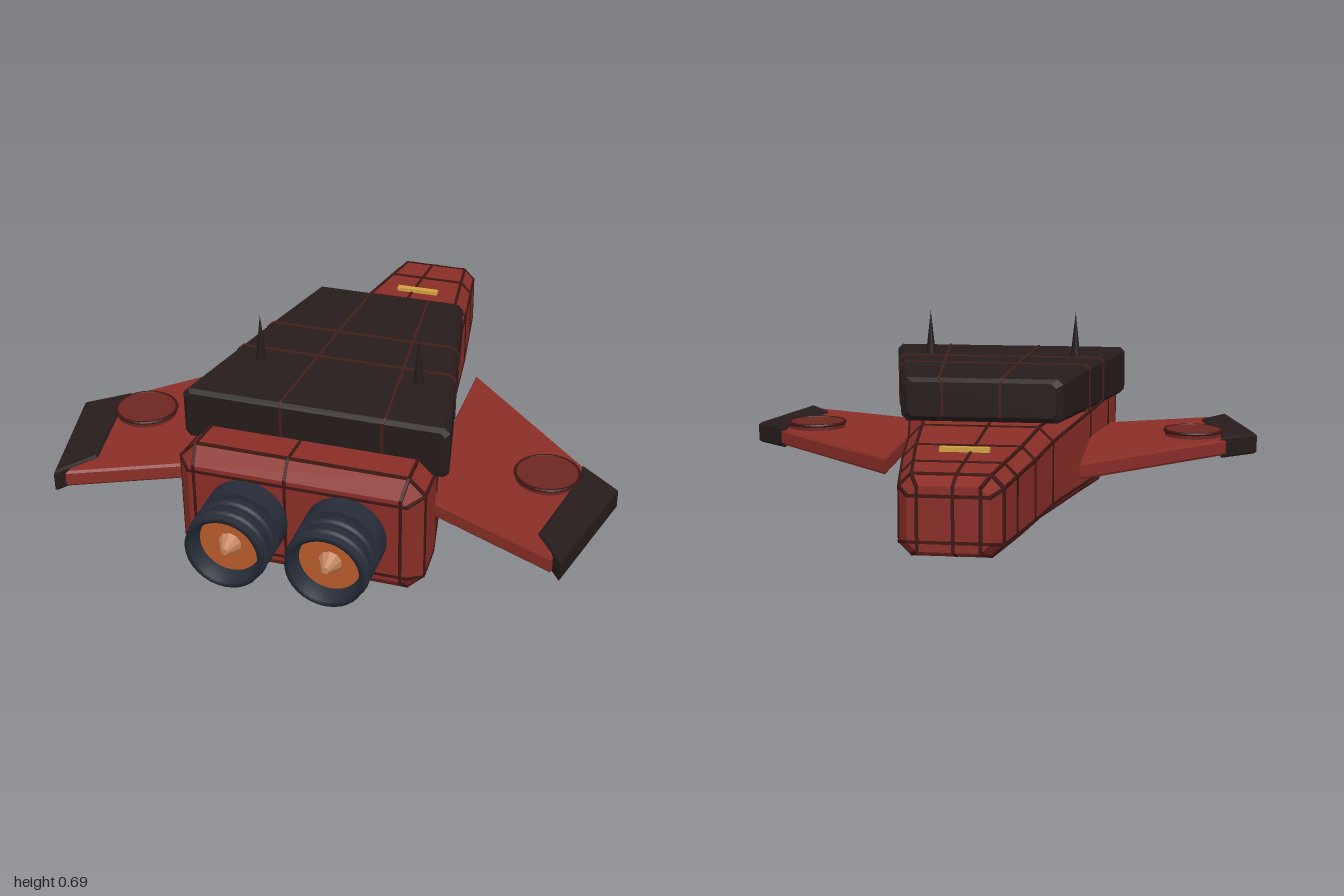
import * as THREE from 'three';

const paint = (color, opts = {}) => new THREE.MeshStandardMaterial({ color, flatShading: true, ...opts });
const red = paint(0x8a2e27);
const plate = paint(0x6e2722);
const dark = paint(0x261c1b);
const hullSeam = paint(0x3c1613);
const deckSeam = paint(0x43201a);
const steel = paint(0x272c38, { flatShading: false, side: THREE.DoubleSide });
const glow = paint(0xb85c2c, { flatShading: false });
const core = paint(0xc4855f);
const gold = paint(0xd0a040);

// Section: [z, x0, x1, y0, y1, chamfer]
const octagon = ([z, x0, x1, y0, y1, c]) => [
  [x0 + c, y0, z], [x1 - c, y0, z], [x1, y0 + c, z], [x1, y1 - c, z],
  [x1 - c, y1, z], [x0 + c, y1, z], [x0, y1 - c, z], [x0, y0 + c, z],
];

// Skin a run of chamfered sections, listed by rising z
function loft(sections) {
  const rings = sections.map(octagon), pos = [];
  const tri = (a, b, c) => pos.push(...a, ...b, ...c);
  for (let k = 0; k < rings.length - 1; k++) {
    for (let i = 0; i < 8; i++) {
      const j = (i + 1) % 8, a = rings[k], b = rings[k + 1];
      tri(a[i], a[j], b[j]);
      tri(a[i], b[j], b[i]);
    }
  }
  const first = rings[0], last = rings[rings.length - 1];
  for (let i = 1; i < 7; i++) {
    tri(first[0], first[i + 1], first[i]);
    tri(last[0], last[i], last[i + 1]);
  }
  const geo = new THREE.BufferGeometry();
  geo.setAttribute('position', new THREE.Float32BufferAttribute(pos, 3));
  geo.computeVertexNormals();
  return geo;
}

// Section at any z along a body
function sectionAt(sections, z) {
  const k = Math.max(1, sections.findIndex((s) => s[0] >= z));
  const a = sections[k - 1], b = sections[k];
  const t = (z - a[0]) / (b[0] - a[0]);
  return a.map((v, i) => v + (b[i] - v) * t);
}

function add(parent, name, geo, mat, x = 0, y = 0, z = 0) {
  const mesh = new THREE.Mesh(geo, mat);
  mesh.name = name;
  mesh.position.set(x, y, z);
  parent.add(mesh);
  return mesh;
}

// Thin raised bands around a body
function bands(parent, name, sections, stations, mat) {
  const g = 0.003, w = 0.007;
  for (const z of stations) {
    const ring = [z - w, z + w].map((q) => {
      const [, x0, x1, y0, y1, c] = sectionAt(sections, q);
      return [q, x0 - g, x1 + g, y0 - g, y1 + g, c];
    });
    add(parent, name, loft(ring), mat);
  }
}

// Flat plate from an [x, z] outline
function slab(points, y0, y1, bevel) {
  const shape = new THREE.Shape(points.map(([x, z]) => new THREE.Vector2(x, -z)));
  const geo = new THREE.ExtrudeGeometry(shape, {
    depth: y1 - y0 - 2 * bevel, bevelEnabled: true, bevelThickness: bevel,
    bevelSize: bevel, bevelOffset: -bevel, bevelSegments: 1,
  });
  return geo.rotateX(-Math.PI / 2).translate(0, y0 + bevel, 0);
}

const hullSections = [
  [-1, 0.125, 0.105, 0.305, 0.03],
  [-0.945, 0.16, 0.082, 0.332, 0.04],
  [-0.58, 0.215, 0.066, 0.35, 0.045],
  [-0.28, 0.25, 0.05, 0.365, 0.05],
  [0.24, 0.34, 0.022, 0.39, 0.055],
  [0.6, 0.405, 0.006, 0.41, 0.055],
  [0.74, 0.41, 0.003, 0.416, 0.055],
  [0.792, 0.365, 0.055, 0.365, 0.02],
].map(([z, w, y0, y1, c]) => [z, -w, w, y0, y1, c]);

const deckSections = [
  [-0.272, -0.255, 0.255, 0.39, 0.508, 0.015],
  [-0.257, -0.278, 0.278, 0.372, 0.522, 0.018],
  [0.1, -0.35, 0.35, 0.362, 0.53, 0.018],
  [0.6, -0.45, 0.45, 0.352, 0.533, 0.018],
  [0.614, -0.437, 0.437, 0.365, 0.52, 0.015],
];

function addHull(model) {
  const hull = new THREE.Group();
  hull.name = 'hull';
  model.add(hull);
  add(hull, 'hullBody', loft(hullSections), red);
  bands(hull, 'hullBand', hullSections, [-0.945, -0.8, -0.58, -0.3, 0.24, 0.52, 0.735], hullSeam);
  // Lengthwise seams: thin fins cut through the hull, just proud of the skin
  const g = 0.003, w = 0.005;
  const fin = (name, place) => add(hull, name, loft(hullSections.map((s, i) => {
    const z = s[0] + (i === 0 ? -0.002 : i === hullSections.length - 1 ? 0.002 : 0);
    return [z, ...place(s), 0.001];
  })), hullSeam);
  fin('centreSeam', ([, , x1, y0, y1]) => [-0.1 * x1 - w, -0.1 * x1 + w, y0 - g, y1 + g]);
  for (const s of [-1, 1]) {
    fin('edgeSeam', ([, , x1, y0, y1, c]) => [s * (x1 - c) - w, s * (x1 - c) + w, y0 - g, y1 + g]);
    fin('sideSeam', ([, x0, x1, y0, y1, c]) => {
      const y = s > 0 ? y1 - c : y0 + c;
      return [x0 - g, x1 + g, y - w, y + w];
    });
  }
  add(hull, 'noseMarker', new THREE.BoxGeometry(0.16, 0.025, 0.025), gold, 0, 0.348, -0.66);
}

function addDeck(model) {
  const deck = new THREE.Group();
  deck.name = 'upperDeck';
  model.add(deck);
  add(deck, 'deckBody', loft(deckSections), dark);
  bands(deck, 'deckBand', deckSections, [0.08, 0.27], deckSeam);
  for (const f of [-0.25, 0.53]) {
    const seam = deckSections.map(([z, , x1, y0, y1], i) => {
      const end = i === 0 ? -0.002 : i === 4 ? 0.002 : 0;
      return [z + end, f * x1 - 0.005, f * x1 + 0.005, y0, y1 + 0.003, 0.001];
    });
    add(deck, 'deckSeam', loft(seam), deckSeam);
  }
  for (const s of [-1, 1]) {
    add(deck, 'antenna', new THREE.ConeGeometry(0.019, 0.17, 10), dark, s * 0.275, 0.61, 0.34);
  }
}

function addWing(model, s) {
  const wing = new THREE.Group();
  wing.name = s > 0 ? 'leftWing' : 'rightWing';
  model.add(wing);
  const side = (pts) => pts.map(([x, z]) => [s * x, z]);
  add(wing, 'wingPanel', slab(side([[0.335, -0.265], [0.84, 0.245], [0.82, 0.772], [0.335, 0.555]]), 0.18, 0.238, 0.008), red);
  add(wing, 'wingTip', slab(side([[0.82, 0.235], [0.957, 0.345], [0.85, 0.795], [0.755, 0.66], [0.825, 0.3]]), 0.17, 0.247, 0.008), dark);
  add(wing, 'wingDisc', new THREE.CylinderGeometry(0.105, 0.105, 0.09, 32), plate, s * 0.72, 0.215, 0.335);
  const rim = new THREE.TorusGeometry(0.106, 0.006, 6, 32).rotateX(Math.PI / 2);
  add(wing, 'discRim', rim, hullSeam, s * 0.72, 0.257, 0.335);
}

function addEngine(model, s) {
  const engine = new THREE.Group();
  engine.name = s > 0 ? 'leftEngine' : 'rightEngine';
  engine.position.set(s * 0.165, 0.207, 0);
  model.add(engine);
  add(engine, 'collar', new THREE.CylinderGeometry(0.137, 0.137, 0.1, 32).rotateX(Math.PI / 2), steel, 0, 0, 0.82);
  // Flared bell with an open mouth
  const bell = [[0.115, 0.86], [0.12, 0.93], [0.13, 1], [0.112, 1], [0.1, 0.94]];
  const profile = bell.map(([r, z]) => new THREE.Vector2(r, z));
  add(engine, 'bell', new THREE.LatheGeometry(profile, 32).rotateX(Math.PI / 2), steel);
  for (const z of [0.91, 0.965]) {
    add(engine, 'bellRing', new THREE.TorusGeometry(0.124, 0.013, 8, 32), steel, 0, 0, z);
  }
  add(engine, 'glowDisc', new THREE.CylinderGeometry(0.106, 0.106, 0.02, 32).rotateX(Math.PI / 2), glow, 0, 0, 0.935);
  add(engine, 'exhaustCone', new THREE.CylinderGeometry(0.012, 0.04, 0.05, 10).rotateX(Math.PI / 2), core, 0, 0, 0.968);
}

export function createModel() {
  const model = new THREE.Group();
  model.name = 'spacecraft';
  addHull(model);
  addDeck(model);
  for (const s of [-1, 1]) {
    addWing(model, s);
    addEngine(model, s);
  }
  return model;
}
